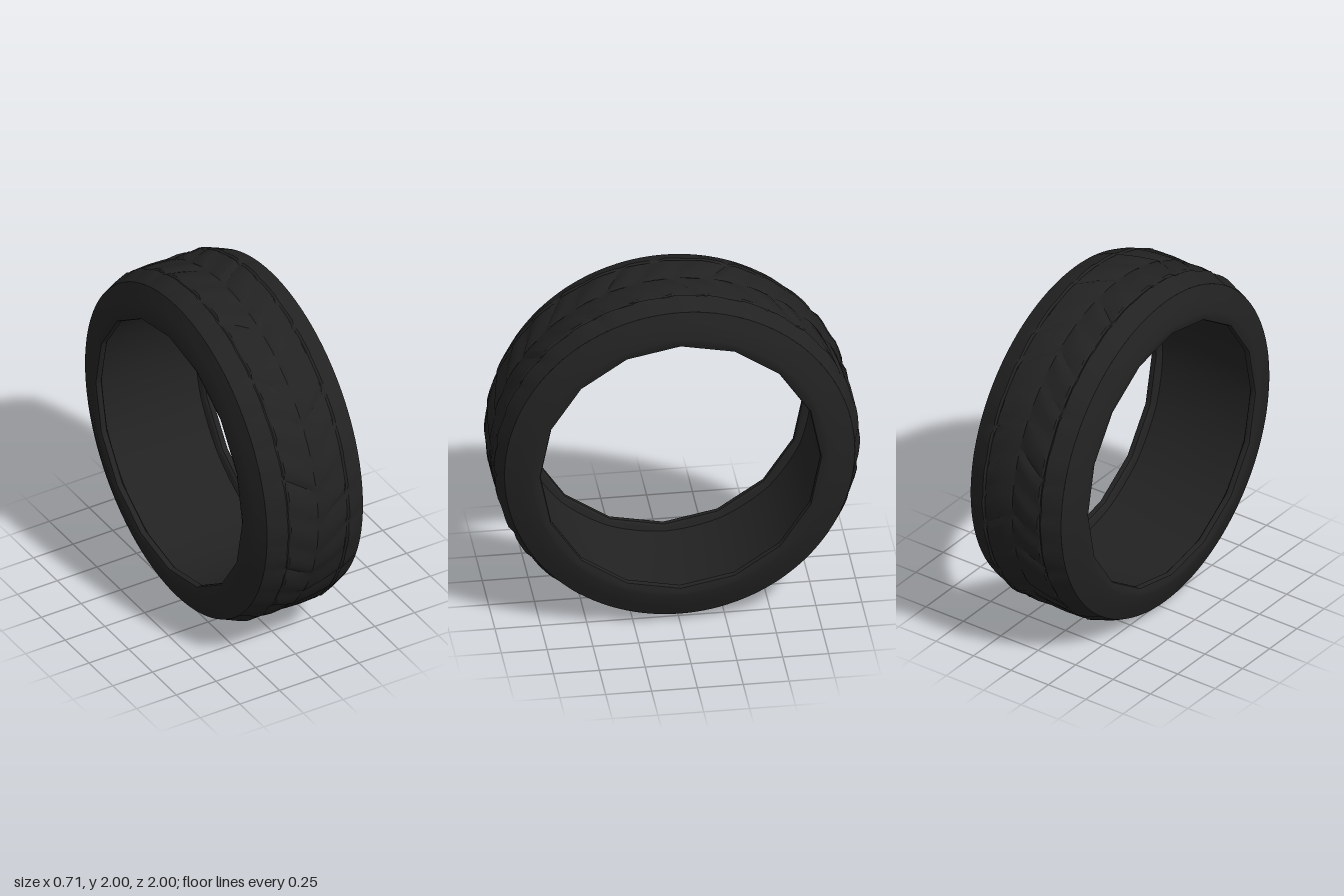
import * as THREE from 'three';
import { toCreasedNormals } from 'three/addons/utils/BufferGeometryUtils.js';

const PITCHES = 32; // chevron blocks around the tyre
const LIP_SIDES = 16; // the rim opening is a coarse polygon

// Sweep a profile around the x axis; place(point, row) returns [radius, angle].
function sweep(profile, rows, place) {
  const pos = [], index = [], n = profile.length;
  for (let j = 0; j < rows; j++) {
    for (const p of profile) {
      const [r, a] = place(p, j);
      pos.push(p[0], 1 + r * Math.sin(a), r * Math.cos(a));
    }
  }
  for (let j = 0; j < rows; j++) {
    const k = (j + 1) % rows;
    for (let i = 0; i < n - 1; i++) {
      const a = j * n + i, b = a + 1, d = k * n + i, c = d + 1;
      index.push(a, b, c, a, c, d);
    }
  }
  const geo = new THREE.BufferGeometry();
  geo.setAttribute('position', new THREE.Float32BufferAttribute(pos, 3));
  geo.setIndex(index);
  return toCreasedNormals(geo, 0.55);
}

// Radius of a regular polygon whose corners lie on a circle of radius r
function polygonRadius(r, angle) {
  const step = (2 * Math.PI) / LIP_SIDES;
  const local = (((angle % step) + step) % step) - step / 2;
  return (r * Math.cos(step / 2)) / Math.cos(local);
}

const mirrored = (half) => half.map(([x, ...rest]) => [-x, ...rest]).reverse();

export function createModel() {
  const group = new THREE.Group();
  group.name = 'tyre';
  const rubber = new THREE.MeshStandardMaterial({ color: 0x222222, side: THREE.DoubleSide });
  rubber.name = 'black rubber';
  const add = (name, geo) => {
    const mesh = new THREE.Mesh(geo, rubber);
    mesh.name = name;
    group.add(mesh);
  };

  // Tread half profile: x, radius, chevron depth, angle the chevron leads by
  const half = [
    [0.012, 0.997, 0.9, 0.01],
    [0.09, 1.0, 1, 0.07],
    [0.172, 0.998, 1, 0.13],
    [0.182, 0.989, 0.3, 0.135],
    [0.194, 0.999, 0.8, 0.14],
    [0.25, 0.979, 0.6, 0.15],
    [0.302, 0.955, 0, 0.16],
  ];
  const tread = [...mirrored(half), [0, 0.99, 0.4, 0], ...half];

  // Worn blocks: each rises from its groove, then slopes gently down
  const phases = [0, 0.22, 0.5, 0.8];
  const depths = [0.016, 0, 0.003, 0.009];
  add('tread', sweep(tread, PITCHES * phases.length, ([x, r, depth, lead], j) => {
    const k = j % phases.length;
    const block = Math.floor(j / phases.length);
    const wear = 0.75 + 0.25 * Math.sin(block * 2.4 + x * 9);
    return [
      r - depths[k] * depth * wear,
      ((block + phases[k]) * 2 * Math.PI) / PITCHES + lead,
    ];
  }));

  // Sidewalls, liner: x, radius, and how far the ring follows the polygon
  const rows = LIP_SIDES * 6;
  const ring = ([, r, poly], j) => {
    const a = (j * 2 * Math.PI) / rows;
    return [THREE.MathUtils.lerp(r, polygonRadius(r, a), poly), a];
  };
  const wall = [
    [0.302, 0.955, 0],
    [0.33, 0.885, 0],
    [0.354, 0.81, 0],
    [0.355, 0.79, 0.4],
    [0.346, 0.768, 1],
    [0.335, 0.763, 1],
    [0.315, 0.765, 1],
    [0.305, 0.775, 0.8],
  ];
  add('leftSidewall', sweep(wall, rows, ring));
  add('rightSidewall', sweep(mirrored(wall), rows, ring));

  // Inside surface, slightly recessed behind the lips
  const linerHalf = [
    [0.305, 0.775, 0.8],
    [0.295, 0.797, 0.2],
    [0.14, 0.8, 0],
  ];
  add('innerLiner', sweep([...linerHalf, ...mirrored(linerHalf)], rows, ring));

  return group;
}
